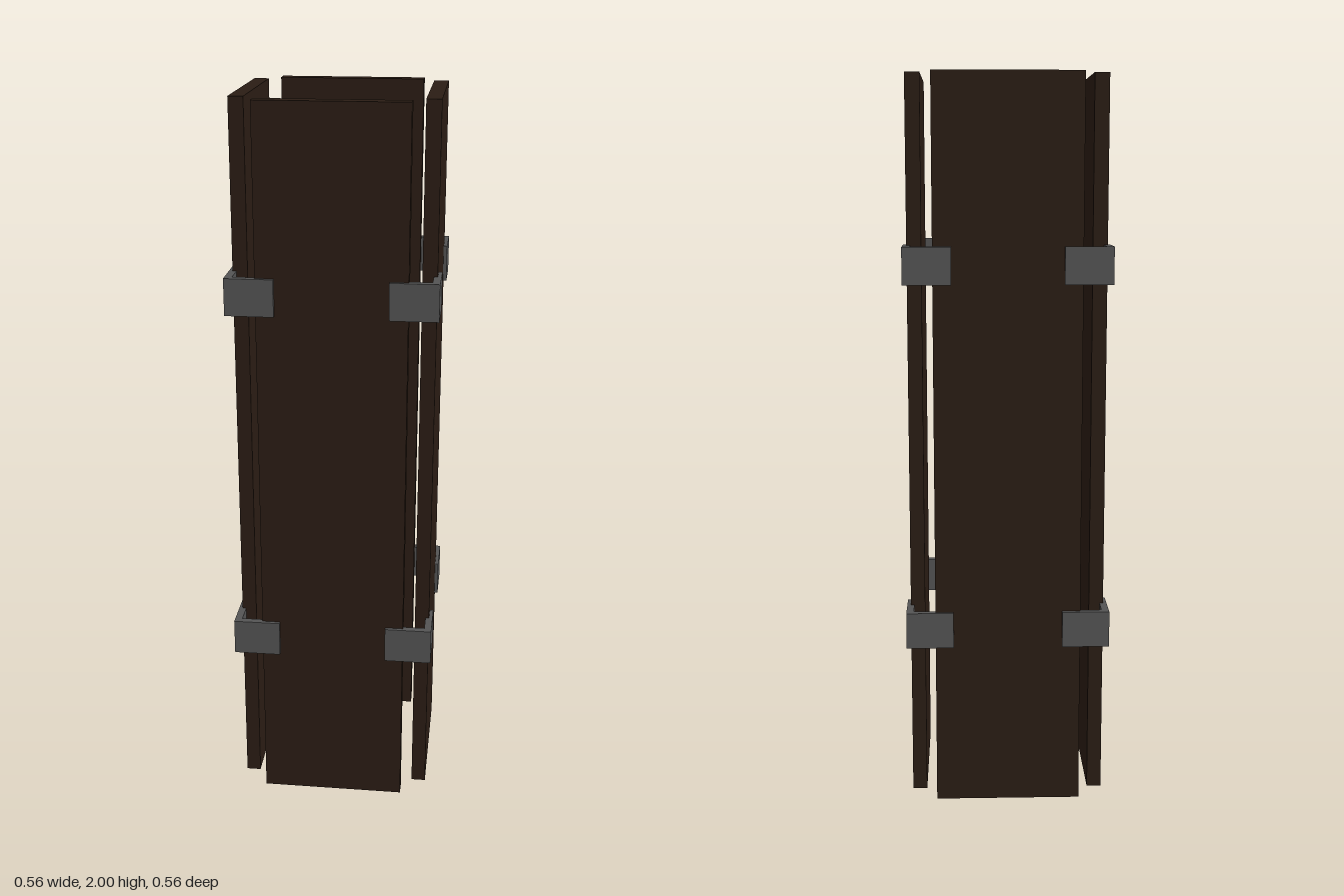
import * as THREE from 'three';

export function createModel() {
  const model = new THREE.Group();
  model.name = 'panelColumn';
  const wood = new THREE.MeshStandardMaterial({ color: 0x2b1d14 });
  const metal = new THREE.MeshStandardMaterial({ color: 0x555555 });

  // Four upright boards standing in a square, open at the corners
  const boardGeometry = new THREE.BoxGeometry(0.4, 2, 0.04).translate(0, 1, 0.25);

  // L-shaped corner bracket, wrapping the outside of the +x +z corner
  const outer = 0.28, inner = 0.26, end = 0.15, height = 0.1;
  const profile = new THREE.Shape([
    [end, -outer], [outer, -outer], [outer, -end],
    [inner, -end], [inner, -inner], [end, -inner],
  ].map(([x, y]) => new THREE.Vector2(x, y)));
  const bracketGeometry = new THREE.ExtrudeGeometry(profile, { depth: height, bevelEnabled: false })
    .rotateX(-Math.PI / 2)
    .translate(0, -height / 2, 0);

  const sides = ['front', 'left', 'back', 'right'];
  const corners = ['frontLeft', 'backLeft', 'backRight', 'frontRight'];
  for (let i = 0; i < 4; i++) {
    const turn = i * Math.PI / 2;
    const board = new THREE.Mesh(boardGeometry, wood);
    board.name = sides[i] + 'Board';
    board.rotation.y = turn;
    model.add(board);

    // A lower and an upper bracket at each corner
    for (const [level, y] of [['Lower', 0.5], ['Upper', 1.5]]) {
      const bracket = new THREE.Mesh(bracketGeometry, metal);
      bracket.name = corners[i] + level + 'Bracket';
      bracket.position.y = y;
      bracket.rotation.y = turn;
      model.add(bracket);
    }
  }
  return model;
}
